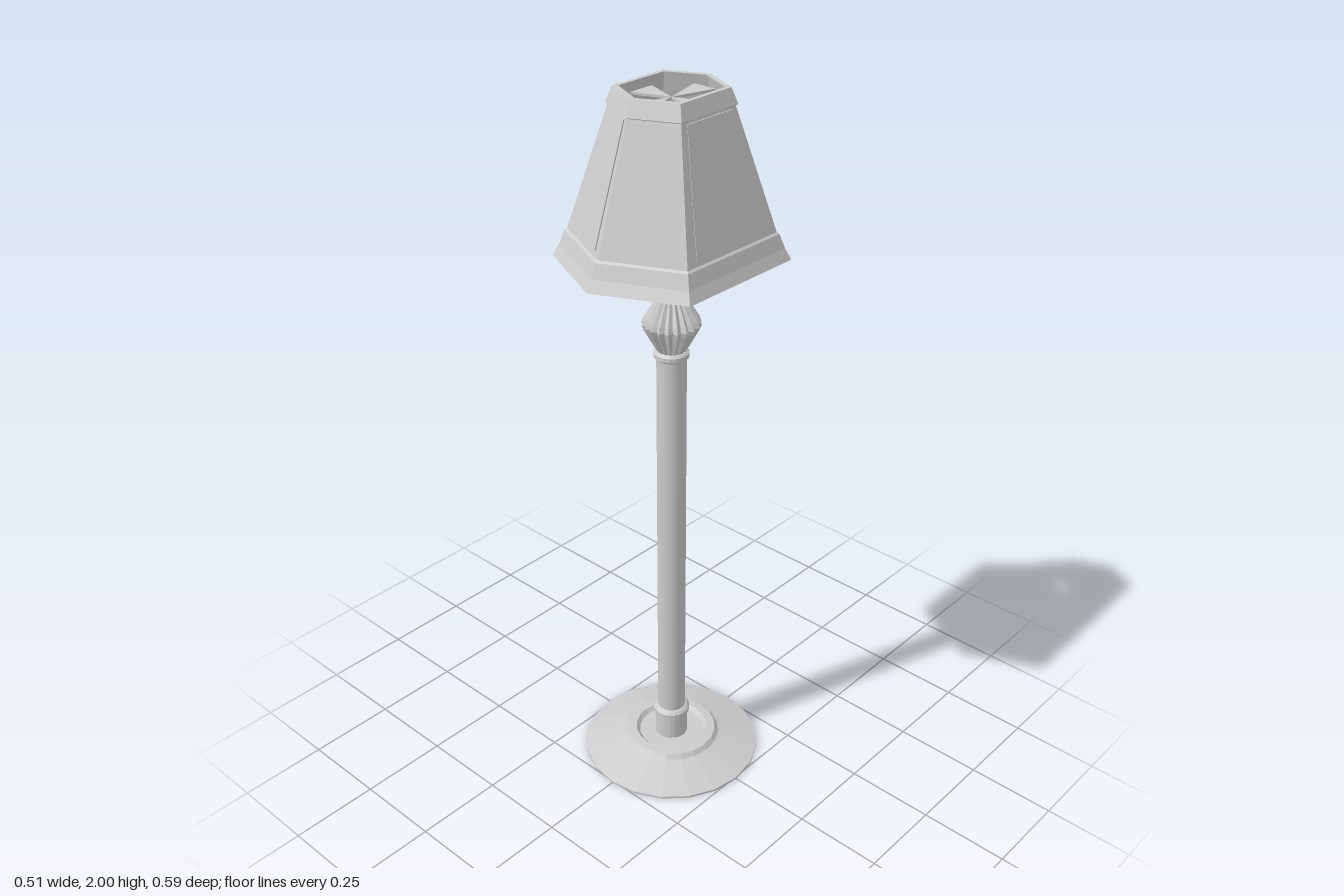
import * as THREE from 'three';
import { ConvexGeometry } from 'three/addons/geometries/ConvexGeometry.js';

const SIDES = 20;
const flat = new THREE.MeshStandardMaterial({ color: 0xcccccc, flatShading: true, side: THREE.DoubleSide });
const smooth = new THREE.MeshStandardMaterial({ color: 0xcccccc });

const add = (group, name, geometry, material = flat) => {
  const mesh = new THREE.Mesh(geometry, material);
  mesh.name = name;
  group.add(mesh);
  return mesh;
};
const lathe = (points, sides = SIDES) =>
  new THREE.LatheGeometry(points.map(([r, y]) => new THREE.Vector2(r, y)), sides);

// Corner i of the stretched hexagon whose front corner lies s from the axis
function hexCorner(i, s, y) {
  const k = ((i % 6) + 6) % 6;
  const x = [0, 0.775, 0.775, 0, -0.775, -0.775][k];
  const z = [1, 0.635, -0.635, -1, -0.635, 0.635][k];
  return new THREE.Vector3(x * s, y, z * s);
}

// Sweeps a closed (s, y) profile around the hexagon
function hexShell(profile) {
  const pos = [];
  const n = profile.length;
  for (let i = 0; i < 6; i++) {
    for (let j = 0; j < n; j++) {
      const p = profile[j], q = profile[(j + 1) % n];
      const a = hexCorner(i, ...p), b = hexCorner(i + 1, ...p);
      const c = hexCorner(i + 1, ...q), d = hexCorner(i, ...q);
      for (const v of [a, b, c, a, c, d]) pos.push(v.x, v.y, v.z);
    }
  }
  const g = new THREE.BufferGeometry();
  g.setAttribute('position', new THREE.Float32BufferAttribute(pos, 3));
  g.computeVertexNormals();
  return g;
}

export function createModel() {
  const lamp = new THREE.Group();
  lamp.name = 'floorLamp';

  // Stepped round foot with a shallow recess around the collar
  add(lamp, 'base', lathe([
    [0, 0], [0.257, 0], [0.257, 0.006], [0.15, 0.038], [0.14, 0.042],
    [0.13, 0.055], [0.105, 0.057], [0.095, 0.045], [0, 0.045],
  ]));
  add(lamp, 'collar', lathe([
    [0, 0.045], [0.047, 0.045], [0.047, 0.12], [0.053, 0.125],
    [0.053, 0.135], [0.047, 0.142], [0.04, 0.145],
  ]));

  // Column and the rod carrying the shade
  const pole = add(lamp, 'pole', new THREE.CylinderGeometry(0.04, 0.04, 1.17, SIDES), smooth);
  pole.position.y = 0.725;
  const rod = add(lamp, 'rod', new THREE.CylinderGeometry(0.028, 0.028, 0.32, SIDES), smooth);
  rod.position.y = 1.62;

  // Rings above and below the knob
  for (const [name, y, r] of [['lowerRing', 1.303, 0.04], ['upperRing', 1.472, 0.037]]) {
    const ring = add(lamp, name, lathe([
      [0, -0.012], [r, -0.012], [r + 0.007, -0.006], [r + 0.007, 0.006], [r, 0.012], [0, 0.012],
    ]));
    ring.position.y = y;
  }

  // Fluted knob: every second column of vertices is drawn inwards
  const knob = lathe([
    [0.036, 1.31], [0.042, 1.32], [0.072, 1.375], [0.078, 1.39],
    [0.072, 1.405], [0.042, 1.455], [0.036, 1.465],
  ], 40);
  const kp = knob.attributes.position;
  for (let i = 0; i < kp.count; i++) {
    if (Math.floor(i / 7) % 2 === 0) continue;
    const f = 0.87;
    kp.setXYZ(i, kp.getX(i) * f, kp.getY(i), kp.getZ(i) * f);
  }
  add(lamp, 'knob', knob);

  // Hexagonal shade with flared trim at the bottom and a band at the top
  const shade = new THREE.Group();
  shade.name = 'shade';
  lamp.add(shade);
  add(shade, 'shadeShell', hexShell([
    [0.297, 1.57], [0.28, 1.6], [0.265, 1.637], [0.258, 1.642], [0.151, 1.957],
    [0.157, 1.96], [0.14, 2], [0.125, 2], [0.141, 1.95], [0.247, 1.64], [0.285, 1.57],
  ]));

  // Thin raised panel on every face
  const sAt = (y) => 0.258 + (y - 1.642) / 0.315 * (0.151 - 0.258);
  for (let i = 0; i < 6; i++) {
    const corners = [];
    for (const lift of [0, 0.004])
      for (const y of [1.657, 1.952])
        for (const u of [0.1, 0.9])
          corners.push(hexCorner(i, sAt(y) + lift, y).lerp(hexCorner(i + 1, sAt(y) + lift, y), u));
    add(shade, 'shadePanel', new ConvexGeometry(corners));
  }

  // Four tapering arms meeting above the rod
  for (let i = 0; i < 4; i++) {
    const [length, half] = i % 2 ? [0.098, 0.037] : [0.118, 0.034];
    const shape = new THREE.Shape();
    shape.moveTo(0, 0);
    shape.lineTo(half, length);
    shape.lineTo(-half, length);
    const g = new THREE.ExtrudeGeometry(shape, { depth: 0.006, bevelEnabled: false });
    g.rotateX(Math.PI / 2);
    const arm = add(shade, 'shadeArm', g);
    arm.rotation.y = i * Math.PI / 2;
    arm.position.y = 1.975;
  }
  return lamp;
}
